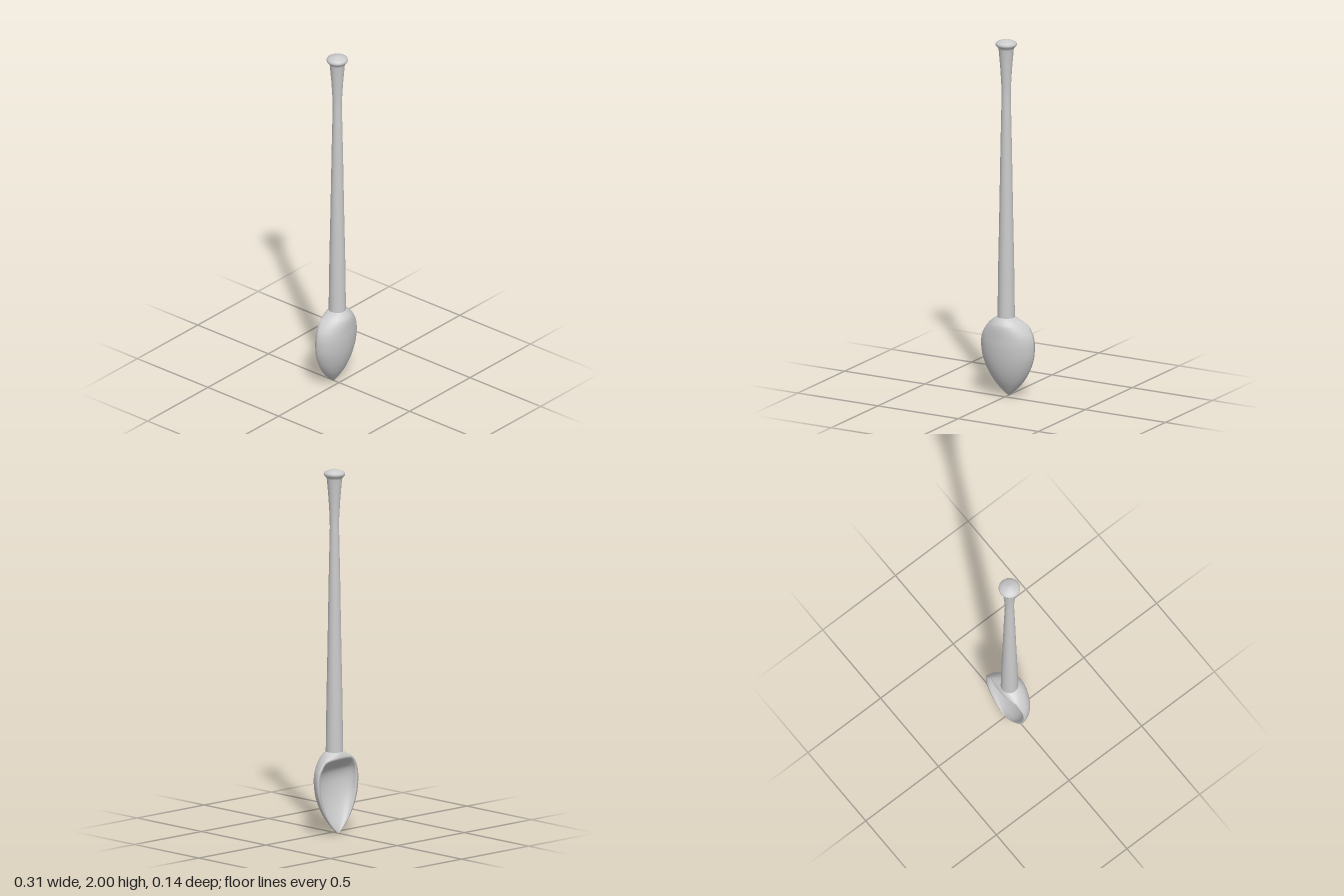
import * as THREE from 'three';

const material = new THREE.MeshStandardMaterial({ color: 0xcccccc, side: THREE.DoubleSide });
const AXIS_Z = -0.012;

// Round handle with a flared end and a domed knob
function makeHandle() {
  const profile = [
    [0, 0.435], [0.046, 0.435], [0.047, 0.45], [0.043, 0.75], [0.037, 1.05], [0.031, 1.4], [0.025, 1.68],
    [0.026, 1.74], [0.032, 1.84], [0.041, 1.945], [0.046, 1.957], [0.056, 1.965],
    [0.058, 1.974], [0.054, 1.983], [0.04, 1.99], [0.02, 1.997], [0, 2],
  ].map(([r, y]) => new THREE.Vector2(r, y));
  const handle = new THREE.Mesh(new THREE.LatheGeometry(profile, 40), material);
  handle.position.z = AXIS_Z;
  handle.name = 'handle';
  return handle;
}

// Pointed bowl, bulging to the front and hollow at the back
function makeBowl() {
  // y, half width, front z, rim z, back surface z, inner width ratio
  const sections = [
    [0.003, 0.003, -0.036, -0.041, -0.04, 0.85],
    [0.018, 0.022, -0.024, -0.043, -0.037, 0.85],
    [0.045, 0.052, -0.006, -0.044, -0.027, 0.88],
    [0.09, 0.09, 0.02, -0.044, -0.007, 0.9],
    [0.15, 0.125, 0.044, -0.044, 0.015, 0.9],
    [0.22, 0.15, 0.061, -0.043, 0.03, 0.9],
    [0.29, 0.157, 0.069, -0.042, 0.034, 0.9],
    [0.34, 0.151, 0.07, -0.043, 0.02, 0.9],
    [0.375, 0.135, 0.07, -0.047, -0.015, 0.9],
    [0.4, 0.117, 0.068, -0.05, -0.052, 0.92],
    [0.417, 0.1, 0.063, -0.046, -0.069, 0.95],
    [0.435, 0.075, 0.05, -0.028, -0.067, 0.98],
    [0.45, 0.047, 0.035, -0.012, -0.059, 1],
  ];
  const curve = (a, b, c) => new THREE.CatmullRomCurve3(
    sections.map((s) => new THREE.Vector3(s[a], s[b], s[c])), false, 'catmullrom', 0.5);
  const outer = curve(0, 1, 2), inner = curve(3, 4, 5);
  const rows = 60, half = 24, ring = 2 * (half + 1);
  const positions = [], index = [];

  for (let i = 0; i <= rows; i++) {
    const { x: y, y: width, z: front } = outer.getPoint(i / rows);
    const { x: rim, y: back, z: ratio } = inner.getPoint(i / rows);
    for (let j = 0; j < ring; j++) {
      const isOuter = j <= half;
      const t = Math.PI * (isOuter ? j : ring - 1 - j) / half;
      const x = width * (isOuter ? 1 : ratio) * Math.cos(t);
      const depth = (isOuter ? front : back) - rim;
      // the rim leans slightly to one side
      positions.push(x, y, rim + depth * Math.sin(t) - 0.05 * x);
    }
  }
  for (let i = 0; i < rows; i++) {
    for (let j = 0; j < ring; j++) {
      const a = i * ring + j, b = i * ring + (j + 1) % ring;
      index.push(a, a + ring, b, b, a + ring, b + ring);
    }
  }
  // close the tip
  for (let j = 1; j < ring - 1; j++) index.push(0, j, j + 1);

  const geometry = new THREE.BufferGeometry();
  geometry.setAttribute('position', new THREE.Float32BufferAttribute(positions, 3));
  geometry.setIndex(index);
  geometry.computeVertexNormals();
  const bowl = new THREE.Mesh(geometry, material);
  bowl.name = 'bowl';
  return bowl;
}

export function createModel() {
  const model = new THREE.Group();
  model.name = 'spoon';
  model.add(makeHandle(), makeBowl());
  return model;
}
